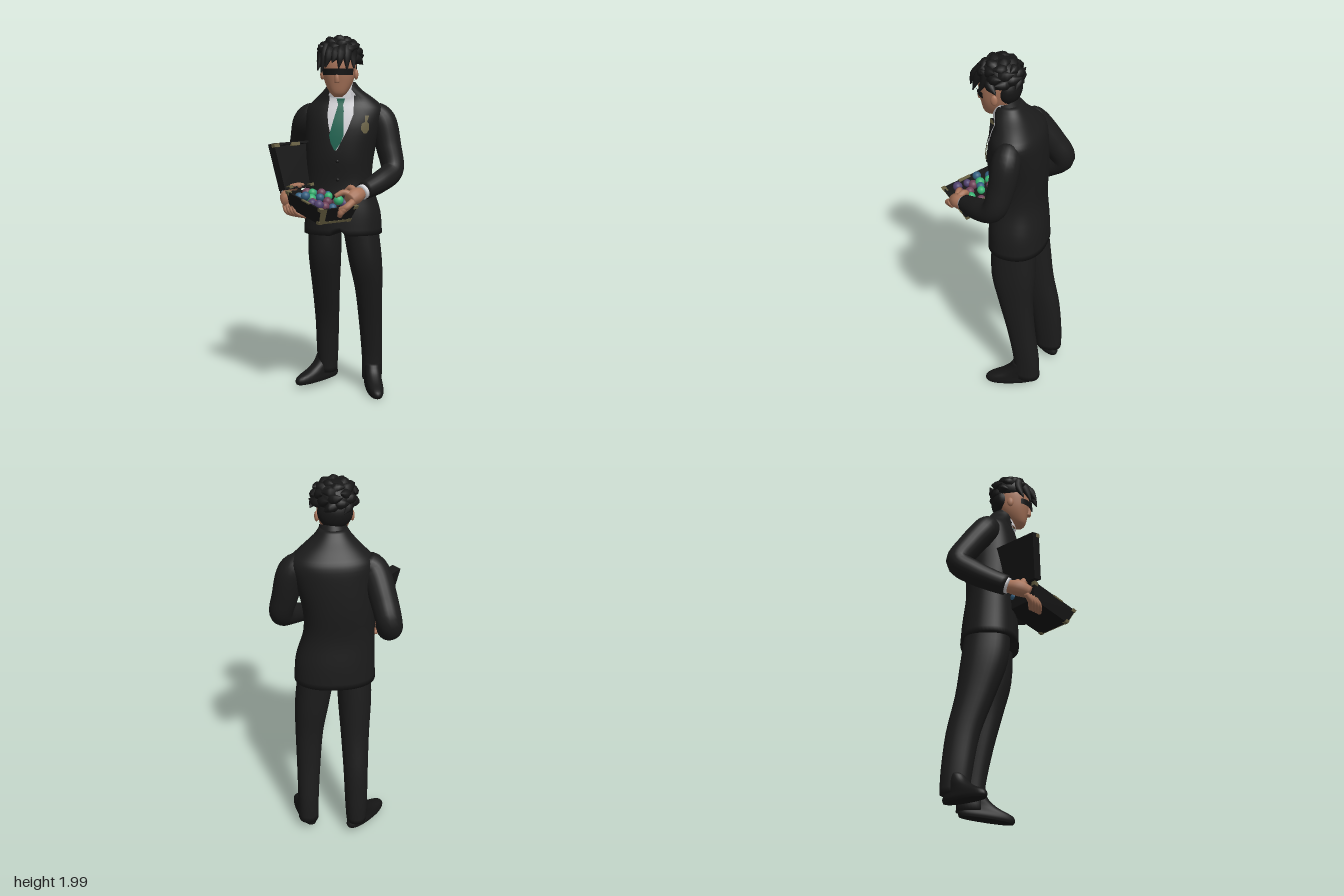
import * as THREE from 'three';

const mat = (name, color) => Object.assign(new THREE.MeshStandardMaterial({ color }), { name });
const M = {
  suit: mat('charcoal suit', 0x1b1b1b), black: mat('black hair and leather', 0x161616),
  skin: mat('skin', 0xa8745a), white: mat('white shirt', 0xd4d4d8), teal: mat('teal silk', 0x1f6552),
  gold: mat('dull gold', 0x6a6244), green: mat('green sweet', 0x36b071), blue: mat('blue sweet', 0x335f80),
  violet: mat('violet sweet', 0x50416e), mauve: mat('mauve sweet', 0x6e4057),
};
M.white.side = THREE.DoubleSide;
const V = (x, y, z) => new THREE.Vector3(x, y, z);

function add(parent, name, geometry, material, pos = [0, 0, 0]) {
  const m = new THREE.Mesh(geometry, material);
  m.name = name;
  m.position.set(...pos);
  parent.add(m);
  return m;
}

// Skin closed rings of points, with both ends capped
function skin(rings) {
  const n = rings[0].length, pts = rings.flat(), idx = [];
  const mid = r => r.reduce((s, p) => s.add(p), V(0, 0, 0)).divideScalar(n);
  const last = (rings.length - 1) * n, c0 = pts.length, c1 = c0 + 1;
  for (let j = 0; j < rings.length - 1; j++) for (let i = 0; i < n; i++) {
    const a = j * n + i, b = j * n + (i + 1) % n;
    idx.push(a, b, a + n, b, b + n, a + n);
  }
  for (let i = 0; i < n; i++) {
    const k = (i + 1) % n;
    idx.push(c0, k, i, c1, last + i, last + k);
  }
  pts.push(mid(rings[0]), mid(rings[rings.length - 1]));
  const g = new THREE.BufferGeometry().setFromPoints(pts);
  g.setIndex(idx);
  g.computeVertexNormals();
  return g;
}

// Smoothly subdivide rows of [x, y, z, rx, rz]
function dense(rows, k = 4) {
  const c = new THREE.CatmullRomCurve3(rows.map(r => V(r[0], r[1], r[2])), false, 'catmullrom');
  const s = new THREE.CatmullRomCurve3(rows.map(r => V(r[3], r[4], 0)), false, 'catmullrom');
  const n = (rows.length - 1) * k;
  return Array.from({ length: n + 1 }, (_, i) => {
    const p = c.getPoint(i / n), q = s.getPoint(i / n);
    return [p.x, p.y, p.z, q.x, q.y];
  });
}

// Upright body from horizontal superellipse rows, listed upwards
const E = 2.3, pw = v => Math.sign(v) * Math.abs(v) ** (2 / E);
function loft(rows, sides = 32) {
  return skin(dense(rows).map(([x, y, z, rx, rz]) => Array.from({ length: sides }, (_, i) => {
    const a = i / sides * Math.PI * 2;
    return V(x + rx * pw(Math.sin(a)), y, z + rz * pw(Math.cos(a)));
  })));
}

// Tapered tube through points of [x, y, z, r]
function limb(pts, steps = 20, sides = 14) {
  const c = new THREE.CatmullRomCurve3(pts.map(p => V(p[0], p[1], p[2])), false, 'catmullrom');
  const s = new THREE.CatmullRomCurve3(pts.map(p => V(p[3], 0, 0)), false, 'catmullrom');
  const f = c.computeFrenetFrames(steps);
  return skin(Array.from({ length: steps + 1 }, (_, j) => {
    const t = c.getUtoTmapping(j / steps), p = c.getPoint(t), r = s.getPoint(t).x;
    return Array.from({ length: sides }, (_, i) => {
      const a = i / sides * Math.PI * 2;
      return p.clone().addScaledVector(f.normals[j], r * Math.cos(a)).addScaledVector(f.binormals[j], r * Math.sin(a));
    });
  }));
}

function ball(parent, name, material, pos, rx, ry = rx, rz = rx) {
  return add(parent, name, new THREE.SphereGeometry(1, 24, 16).scale(rx, ry, rz), material, pos);
}

const jacket = [
  [.028, .925, -.108, .216, .158], [.025, 1.05, -.105, .208, .152], [.005, 1.2, -.1, .185, .138], [.01, 1.35, -.095, .187, .15],
  [.03, 1.5, -.095, .205, .146], [.04, 1.6, -.1, .212, .128], [.04, 1.655, -.09, .165, .1], [.032, 1.71, -.06, .1, .08], [.03, 1.75, -.045, .07, .065],
];
const jacketRows = dense(jacket, 8);

// Depth of the jacket front at a given x and y
function frontZ(x, y) {
  const k = Math.max(1, jacketRows.findIndex(r => r[1] >= y)), a = jacketRows[k - 1], b = jacketRows[k];
  const t = (y - a[1]) / (b[1] - a[1]), [cx, , cz, rx, rz] = a.map((v, i) => v + (b[i] - v) * t);
  return cz + rz * Math.max(0, 1 - (Math.abs(x - cx) / rx) ** E) ** (1 / E);
}

// Thin cloth piece lying on the jacket front; rows of [y, x0, x1] listed downwards
function panel(rows, off) {
  const pts = [], idx = [], w = 8, k = 5, n = (rows.length - 1) * k;
  for (let j = 0; j <= n; j++) {
    const s = Math.min(rows.length - 2, Math.floor(j / k)), t = j / k - s;
    const [y, x0, x1] = rows[s].map((v, i) => v + (rows[s + 1][i] - v) * t);
    for (let i = 0; i <= w; i++) {
      const x = x0 + (x1 - x0) * i / w, a = j * (w + 1) + i;
      pts.push(V(x, y, frontZ(x, y) + off));
      if (j < n && i < w) idx.push(a, a + w + 1, a + 1, a + 1, a + w + 1, a + w + 2);
    }
  }
  const g = new THREE.BufferGeometry().setFromPoints(pts);
  g.setIndex(idx);
  g.computeVertexNormals();
  return g;
}

function buildClothes(g) {
  // Jacket with a small cutaway at the front hem
  const coat = loft(jacket, 64), p = coat.attributes.position;
  for (let i = 0; i < p.count; i++) if (p.getY(i) < .99 && p.getZ(i) > 0)
    p.setY(i, p.getY(i) + .04 * Math.max(0, 1 - Math.abs(p.getX(i) - .02) / .045) * (.99 - p.getY(i)) / .065);
  coat.computeVertexNormals();
  add(g, 'jacket', coat, M.suit);
  add(g, 'shirtFront', panel([[1.725, -.015, .075], [1.66, -.05, .125], [1.55, -.04, .095], [1.42, -.01, .03], [1.39, .004, .012]], .004), M.white);
  add(g, 'tie', panel([[1.67, .005, .055], [1.63, .017, .043], [1.6, .008, .048], [1.47, -.028, .05], [1.43, -.02, .034], [1.39, .001, .007]], .011), M.teal);
  add(g, 'rightLapel', panel([[1.68, -.062, -.03], [1.58, -.12, -.04], [1.5, -.08, -.03], [1.38, -.01, .005]], .01), M.suit);
  add(g, 'leftLapel', panel([[1.68, .1, .12], [1.58, .1, .165], [1.5, .07, .125], [1.38, .008, .035]], .01), M.suit);
  add(g, 'brooch', panel([[1.575, .16, .182], [1.54, .16, .172], [1.53, .143, .182], [1.5, .14, .182], [1.48, .155, .17]], .011), M.gold);
  // Shirt collar open at the back, where the jacket collar covers it
  const collars = [['shirtCollar', M.white, .062, .078, -1.8, 3.6], ['jacketCollar', M.suit, .068, .086, 1.6, 3.08]];
  for (const [name, m, top, bottom, start, length] of collars) {
    const c = add(g, name, new THREE.CylinderGeometry(top, bottom, .08, 28, 1, true, start, length), m, [.03, 1.722, -.03]);
    c.rotation.x = .25;
  }
  for (const y of [1.33, 1.23]) ball(g, 'jacketButton', M.black, [.015, y, frontZ(.015, y)], .009, .009, .006);

  // Trousers
  add(g, 'rightTrouserLeg', loft([[-.08, .08, -.268, .054, .074], [-.08, .2, -.26, .061, .08], [-.078, .4, -.232, .067, .088],
    [-.077, .6, -.175, .077, .103], [-.077, .8, -.128, .09, .125], [-.075, .98, -.11, .09, .12]]), M.suit);
  add(g, 'leftTrouserLeg', loft([[.185, .06, -.212, .056, .074], [.184, .2, -.205, .058, .073], [.178, .4, -.17, .065, .078],
    [.17, .6, -.135, .076, .096], [.152, .77, -.115, .092, .12], [.122, .98, -.105, .098, .12]]), M.suit);

  // Shoes, turned outwards
  for (const [name, x, y, z, turn, pitch] of [['rightShoe', -.085, .038, -.268, -.75, .05], ['leftShoe', .183, .025, -.2, .25, .1]]) {
    const shoe = add(g, name, loft([[0, 0, .075, .045, .145], [0, .018, .075, .049, .152], [0, .042, .07, .047, .14],
      [0, .068, .035, .046, .105], [0, .1, .01, .048, .075], [0, .14, -.005, .047, .06]]), M.black, [x, y, z]);
    shoe.rotation.set(pitch, turn, 0, 'YXZ');
  }

  // Sleeves and cuffs
  add(g, 'rightSleeve', limb([[-.12, 1.59, -.11, .06], [-.175, 1.54, -.125, .074], [-.213, 1.42, -.205, .071], [-.238, 1.31, -.262, .067],
    [-.248, 1.24, -.18, .065], [-.256, 1.185, -.08, .058], [-.255, 1.155, -.005, .054]], 32, 20), M.suit);
  add(g, 'leftSleeve', limb([[.19, 1.6, -.1, .055], [.245, 1.54, -.1, .073], [.28, 1.4, -.085, .069], [.302, 1.28, -.05, .062],
    [.245, 1.225, .05, .058], [.168, 1.185, .145, .047]], 32, 20), M.suit);
  add(g, 'rightCuff', limb([[-.256, 1.16, -.02, .043], [-.255, 1.15, .008, .043]], 4), M.white);
  add(g, 'leftCuff', limb([[.18, 1.19, .13, .04], [.154, 1.176, .16, .04]], 4), M.white);
}

function buildHands(g) {
  const hands = {
    rightHand: [[[-.255, 1.15, -.005, .032], [-.255, 1.135, .06, .042], [-.24, 1.115, .12, .032]],
      ...[0, 1, 2, 3].map(i => [[-.262 + i * .018, 1.1, .1 + i * .014, .015], [-.245 + i * .02, 1.065, .12 + i * .015, .015], [-.19 + i * .018, 1.045, .12 + i * .015, .011]]),
      [[-.25, 1.15, .07, .022], [-.225, 1.192, .09, .019], [-.175, 1.205, .1, .012]],
      [[-.245, 1.15, .04, .02], [-.21, 1.195, .055, .018], [-.165, 1.2, .065, .012]]],
    leftHand: [[[.155, 1.175, .16, .032], [.13, 1.165, .2, .042], [.1, 1.145, .235, .034]],
      ...[0, 1, 2].map(i => [[.12 - i * .012, 1.14 - i * .012, .245, .018], [.09 - i * .012, 1.115 - i * .012, .278, .017], [.052, 1.1 - i * .018, .268, .012]]),
      [[.11, 1.17, .22, .018], [.07, 1.185, .222, .016], [.025, 1.165, .232, .011]],
      [[.125, 1.19, .2, .018], [.1, 1.205, .18, .016], [.075, 1.185, .17, .011]]],
  };
  for (const [name, parts] of Object.entries(hands)) {
    const h = new THREE.Group();
    h.name = name;
    parts.forEach((pts, i) => add(h, i ? 'finger' : 'palm', limb(pts, 10, 12), M.skin));
    g.add(h);
  }
}

function buildHead(g) {
  const head = new THREE.Group();
  head.name = 'head';
  g.add(head);
  add(head, 'neck', limb([[.03, 1.66, -.06, .056], [.025, 1.8, -.015, .055]], 6), M.skin);
  add(head, 'face', loft([[.02, 1.672, .052, .02, .02], [.02, 1.695, .042, .045, .048], [.02, 1.745, .024, .072, .078],
    [.02, 1.8, .016, .086, .096], [.02, 1.87, .01, .09, .1], [.02, 1.94, 0, .065, .075], [.02, 1.965, 0, .02, .02]]), M.skin);
  add(head, 'nose', limb([[.02, 1.81, .104, .009], [.02, 1.775, .113, .012], [.02, 1.748, .108, .014]], 8, 10), M.skin);
  add(head, 'mouth', new THREE.BoxGeometry(.034, .004, .006), M.mauve, [.02, 1.715, .091]);
  for (const s of [-1, 1]) ball(head, 'ear', M.skin, [.02 + s * .09, 1.79, .008], .012, .028, .018);
  // Dark eyewear
  add(head, 'eyewear', new THREE.CylinderGeometry(1.02, .97, .034, 32, 1, true, -1.05, 2.1).scale(.094, 1, .108), M.black, [.02, 1.803, .016]);

  // Hair mass and tousled locks
  ball(head, 'hairCrown', M.black, [.02, 1.895, .004], .106, .088, .11);
  ball(head, 'hairBack', M.black, [.02, 1.83, -.042], .09, .085, .064);
  for (let i = 0; i < 34; i++) {
    const a = i * 2.39996, up = .95 - 1.3 * i / 34, r = Math.sqrt(1 - up * up);
    const d = V(Math.sin(a) * r, up, Math.cos(a) * r);
    if (d.z > .2 && up < .2) continue;
    const at = (k, dy, swirl) => [.02 + .108 * k * (d.x + swirl * Math.cos(a)), 1.89 + .088 * k * d.y + dy, .106 * k * (d.z - swirl * Math.sin(a)) + .004];
    const wild = (i * 7 % 5) / 5, turn = i % 3 ? .3 : -.3;
    const lift = up > .6 ? -.006 : up > -.1 ? .012 * wild : -.02;
    add(head, 'hairLock', limb([[...at(.75, 0, -turn * .6), .034], [...at(.98, 0, 0), .026], [...at(1.06 + .12 * wild, lift, turn), .002]], 7, 8), M.black);
  }
  // Parted fringe of [x root, x tip, y tip, z tip]
  for (const [x, tx, y, z] of [[-.06, -.085, 1.81, .085], [-.035, -.06, 1.8, .125], [-.01, -.035, 1.825, .152], [.02, .0, 1.85, .155],
    [.045, .035, 1.82, .157], [.07, .075, 1.812, .13], [.09, .108, 1.82, .09]])
    add(head, 'fringeLock', limb([[x, 1.94, .06, .026], [(x * 2 + tx) / 3, 1.89, z - .03, .024], [tx, y, z, .003]], 8, 8), M.black);
}

function buildCase(g) {
  const box = new THREE.Group();
  box.name = 'openCase';
  box.position.set(-.06, 1.1, .16);
  box.rotation.set(0, -Math.PI / 4, -.22, 'YXZ');
  g.add(box);
  // Slabs are placed in the geometry, then narrowed towards y = 0 by a rule
  const slab = (p, name, m, x, y, z, w, h, d, taper) => {
    const geo = new THREE.BoxGeometry(w, h, d).translate(x, y, z), a = geo.attributes.position;
    for (let i = 0; i < a.count; i++) {
      const [sx, sz] = taper(a.getY(i));
      a.setX(i, a.getX(i) * sx).setZ(i, a.getZ(i) * sz);
    }
    geo.computeVertexNormals();
    add(p, name, geo, m);
  };
  const trayTaper = y => { const s = 1 - .16 * (.044 - y) / .088; return [s, s]; };
  const tray = (...s) => slab(box, ...s, trayTaper);
  tray('trayFloor', M.black, 0, -.037, 0, .3, .014, .24);
  for (const s of [-1, 1]) {
    tray('traySide', M.black, 0, 0, s * .115, .31, .088, .012);
    tray('trayEnd', M.black, s * .15, 0, 0, .012, .088, .23);
    tray('rimTrim', M.gold, .02, .042, s * .116, .07, .007, .016);
    for (const t of [-1, 1]) {
      tray('cornerGuard', M.gold, s * .147, .038, t * .112, .026, .018, .026);
      tray('cornerGuard', M.gold, s * .147, -.038, t * .112, .026, .018, .026);
    }
  }
  tray('frontCornerPlate', M.gold, .156, 0, .1, .004, .09, .04);
  tray('endTrim', M.gold, .156, -.038, 0, .004, .014, .2);

  // Sweets heaped in the tray, as [colour, x, z]
  const sweets = [['blue', -.12, .03], ['teal', -.13, .058], ['mauve', -.152, .095], ['green', -.12, .11], ['blue', -.185, .135], ['green', -.115, .165],
    ['blue', -.072, .145], ['blue', -.145, .19], ['mauve', -.1, .203], ['violet', -.1, .236], ['mauve', -.025, .192], ['green', .03, .165], ['blue', .01, .225],
    ['mauve', -.028, .257], ['violet', -.058, .277], ['green', -.03, .125], ['mauve', .015, .115], ['violet', .06, .145], ['blue', -.04, .075], ['mauve', -.075, .085]];
  sweets.forEach(([c, x, z], i) => {
    const dx = x + .06, dz = z - .165;
    ball(box, 'sweet', M[c], [.7 * (dx + dz), .024 + (i * 5 % 4) * .009, .7 * (dz - dx)], .022 + (i % 3) * .002);
  });

  // Raised lid leaning away from the tray
  const lid = new THREE.Group();
  lid.name = 'lid';
  lid.position.set(-.168, .05, .03);
  lid.rotation.set(0, .08, .42);
  box.add(lid);
  const lidTaper = y => [1, .8 + .2 * y / .25];
  const flap = (...s) => slab(lid, ...s, lidTaper);
  flap('lidPanel', M.black, -.02, .125, 0, .012, .25, .29);
  for (const s of [-1, 1]) {
    flap('lidSide', M.black, 0, .125, s * .139, .05, .25, .012);
    flap('lidRim', M.black, 0, .125 + s * .119, 0, .05, .012, .29);
    flap('lidGuard', M.gold, .014, .238, s * .128, .026, .02, .036);
    flap('lidHinge', M.gold, .014, .012, s * .09, .026, .016, .03);
  }
  flap('lidClasp', M.gold, .02, .238, 0, .014, .018, .06);
}

export function createModel() {
  const g = new THREE.Group();
  g.name = 'suitedManWithCase';
  buildClothes(g);
  buildHands(g);
  buildHead(g);
  buildCase(g);
  return g;
}
